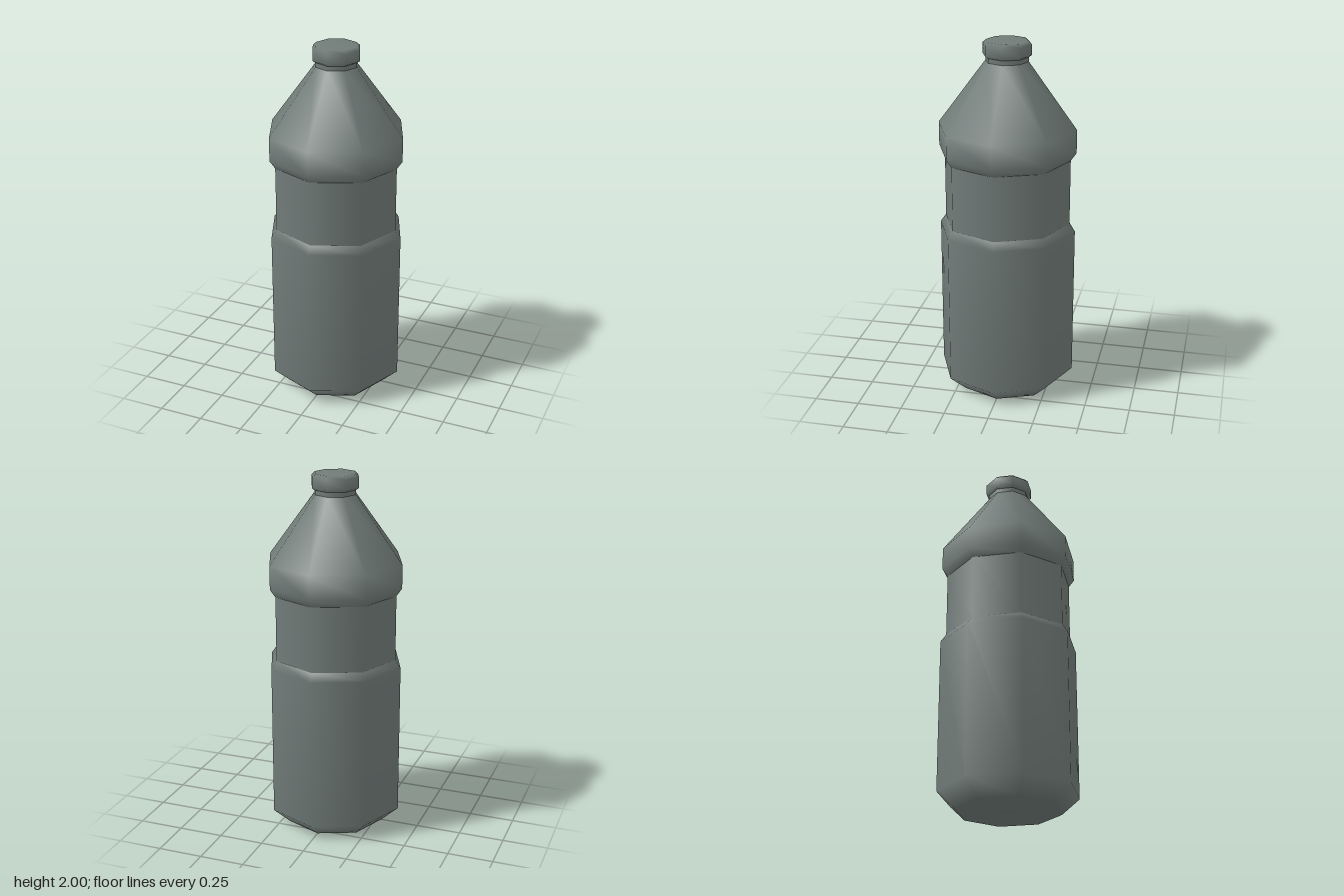
import * as THREE from 'three';

export function createModel() {
  const bottle = new THREE.Group();
  bottle.name = 'bottle';

  const plastic = new THREE.MeshStandardMaterial({ color: 0x717c79 });
  plastic.name = 'greyGreenPlastic';

  // Turns a [radius, height] profile, listed upwards, into an eight-sided part
  function turned(name, profile) {
    const points = profile.map(([r, y]) => new THREE.Vector2(r, y));
    const mesh = new THREE.Mesh(new THREE.LatheGeometry(points, 8), plastic);
    mesh.name = name;
    bottle.add(mesh);
  }

  // Lower body with bevelled base and rim
  turned('body', [[0, 0], [0.285, 0], [0.383, 0.09], [0.383, 0.945], [0.352, 0.99]]);

  // Recessed grip band
  turned('waist', [[0.352, 0.99], [0.352, 1.355]]);

  // Bulging ring and conical shoulder
  turned('shoulder', [[0.352, 1.355], [0.383, 1.4], [0.383, 1.53], [0.118, 1.89]]);

  // Short neck below the cap
  turned('neck', [[0.118, 1.89], [0.118, 1.917]]);

  // Cap with bevelled edges
  turned('cap', [[0.118, 1.915], [0.134, 1.926], [0.134, 1.983], [0.115, 2], [0, 2]]);

  return bottle;
}
